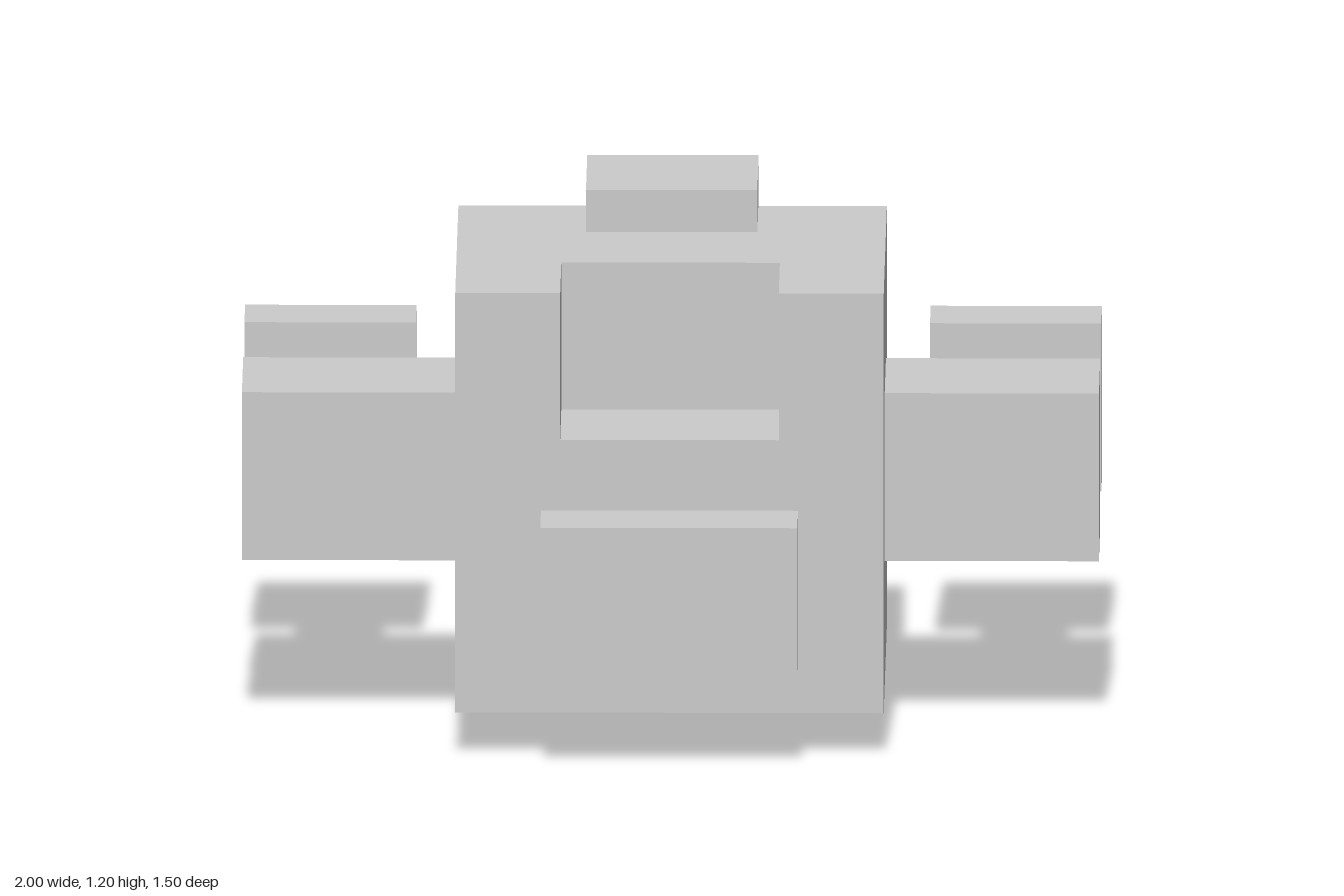
import * as THREE from 'three';
import { mergeGeometries } from 'three/addons/utils/BufferGeometryUtils.js';

const material = new THREE.MeshStandardMaterial({ color: 0xcccccc, flatShading: true });

// Box given by its [min, max] range on each axis
function block(name, [x0, x1], [y0, y1], [z0, z1]) {
  const mesh = new THREE.Mesh(new THREE.BoxGeometry(x1 - x0, y1 - y0, z1 - z0), material);
  mesh.position.set((x0 + x1) / 2, (y0 + y1) / 2, (z0 + z1) / 2);
  mesh.name = name;
  return mesh;
}

// Cube with a notch cut out of its upper front edge
function notchedBody() {
  const xs = [-0.5, -0.255, 0.255, 0.5], ys = [0.1, 0.75, 1.1], zs = [-0.45, 0.2, 0.55];
  const box = new THREE.BoxGeometry(3, 2, 2, 3, 2, 2).toNonIndexed();
  const p = box.attributes.position, n = box.attributes.normal;
  for (let i = 0; i < p.count; i += 3) {
    // Grid corners of this triangle, placed on the uneven grid lines
    const grid = [0, 1, 2].map(k => [
      Math.round(p.getX(i + k) + 1.5), Math.round(p.getY(i + k) + 1), Math.round(p.getZ(i + k) + 1)]);
    const middle = grid.every(g => g[0] === 1 || g[0] === 2);
    const isFloor = middle && n.getY(i) > 0.5 && grid.every(g => g[2] >= 1);
    const isBackWall = middle && n.getZ(i) > 0.5 && grid.every(g => g[1] >= 1);
    grid.forEach(([a, b, c], k) =>
      p.setXYZ(i + k, xs[a], ys[isFloor ? 1 : b], zs[isBackWall ? 1 : c]));
  }
  // Side walls of the notch, facing inward
  const walls = [-1, 1].map(s => new THREE.PlaneGeometry(0.35, 0.35)
    .rotateY(-s * Math.PI / 2).translate(s * 0.255, 0.925, 0.375).toNonIndexed());
  const mesh = new THREE.Mesh(mergeGeometries([box, ...walls]), material);
  mesh.name = 'body';
  return mesh;
}

export function createModel() {
  const model = new THREE.Group();
  model.name = 'model';
  model.add(
    notchedBody(),
    block('frontPlate', [-0.3, 0.3], [0.222, 0.582], [0.55, 0.75]),
    block('backSpine', [-0.2, 0.2], [0, 1.2], [-0.55, -0.15]),
  );

  // Side arms, each with a rod reaching back to an end block
  for (const [side, s] of [['left', 1], ['right', -1]]) {
    const span = (a, b) => s > 0 ? [a, b] : [-b, -a];
    const arm = new THREE.Group();
    arm.name = side + 'Arm';
    arm.add(
      block(side + 'ArmBlock', span(0.5, 1), [0.4, 0.8], [-0.15, 0.25]),
      block(side + 'Rod', span(0.7, 0.9), [0.5, 0.7], [-0.55, -0.15]),
      block(side + 'EndBlock', span(0.6, 1), [0.4, 0.8], [-0.75, -0.55]),
    );
    model.add(arm);
  }
  return model;
}
